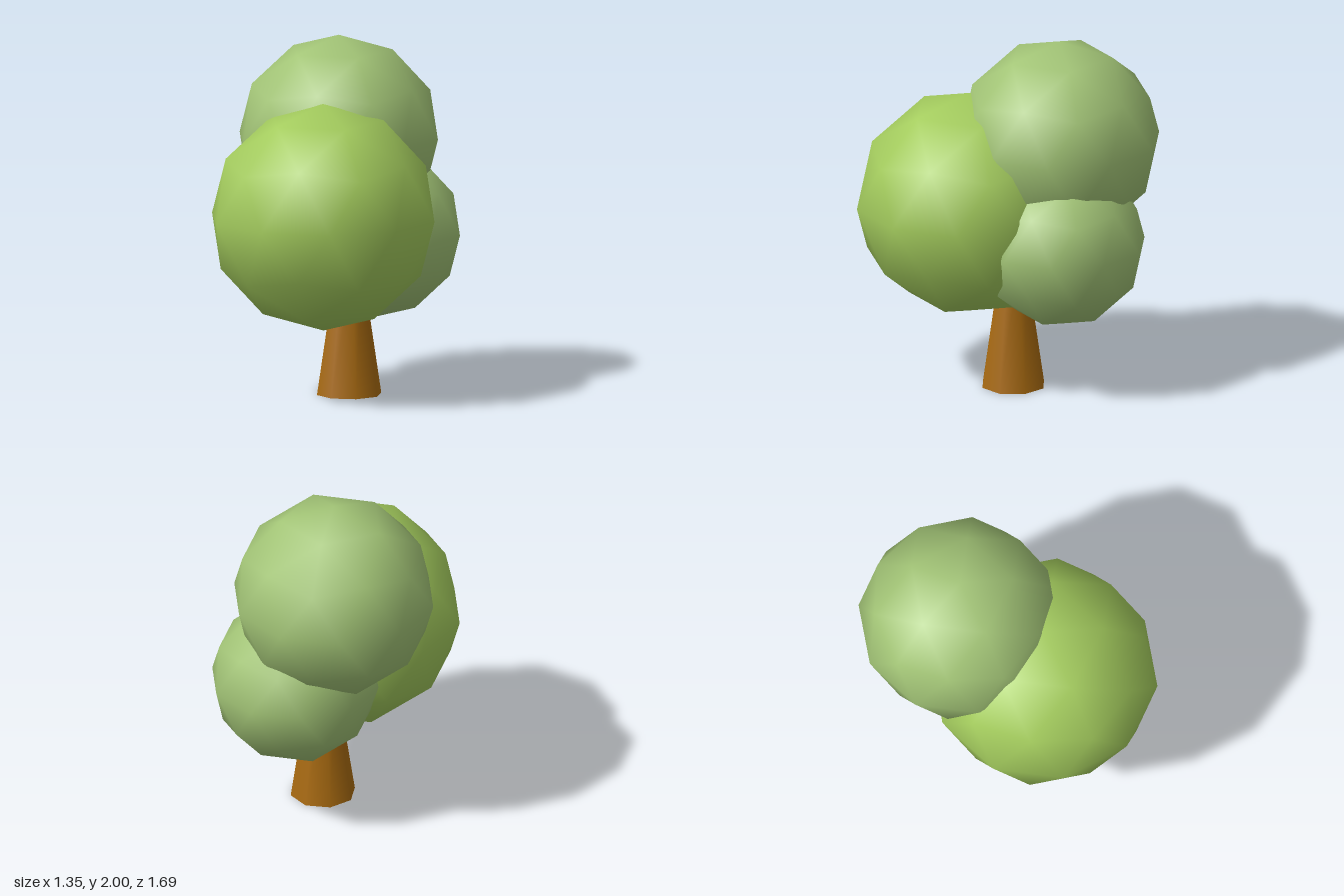
import * as THREE from 'three';

const material = (name, color) => {
  const m = new THREE.MeshStandardMaterial({ color });
  m.name = name;
  return m;
};

export function createModel() {
  const tree = new THREE.Group();
  tree.name = 'tree';
  const bark = material('bark brown', 0xa86a10);
  const brightLeaf = material('bright leaf green', 0xa3cb5d);
  const paleLeaf = material('pale leaf green', 0xa2c476);

  const add = (name, geometry, mat, x, y, z) => {
    const mesh = new THREE.Mesh(geometry, mat);
    mesh.name = name;
    mesh.position.set(x, y, z);
    tree.add(mesh);
  };

  // Tapered eight-sided trunk, its top hidden in the leaves
  add('trunk', new THREE.CylinderGeometry(0.08, 0.185, 0.7, 8), bark, 0.06, 0.35, -0.07);

  // Leaf balls: smooth icospheres turned so one corner points straight up
  const leafBall = (radius) =>
    new THREE.IcosahedronGeometry(radius, 1).rotateZ(Math.atan2(2, 1 + Math.sqrt(5)));
  add('frontFoliage', leafBall(0.645), brightLeaf, 0.06, 1.045, 0.2);
  add('topFoliage', leafBall(0.575), paleLeaf, -0.133, 1.425, -0.265);
  add('backFoliage', leafBall(0.48), paleLeaf, 0.06, 0.88, -0.363);

  return tree;
}
